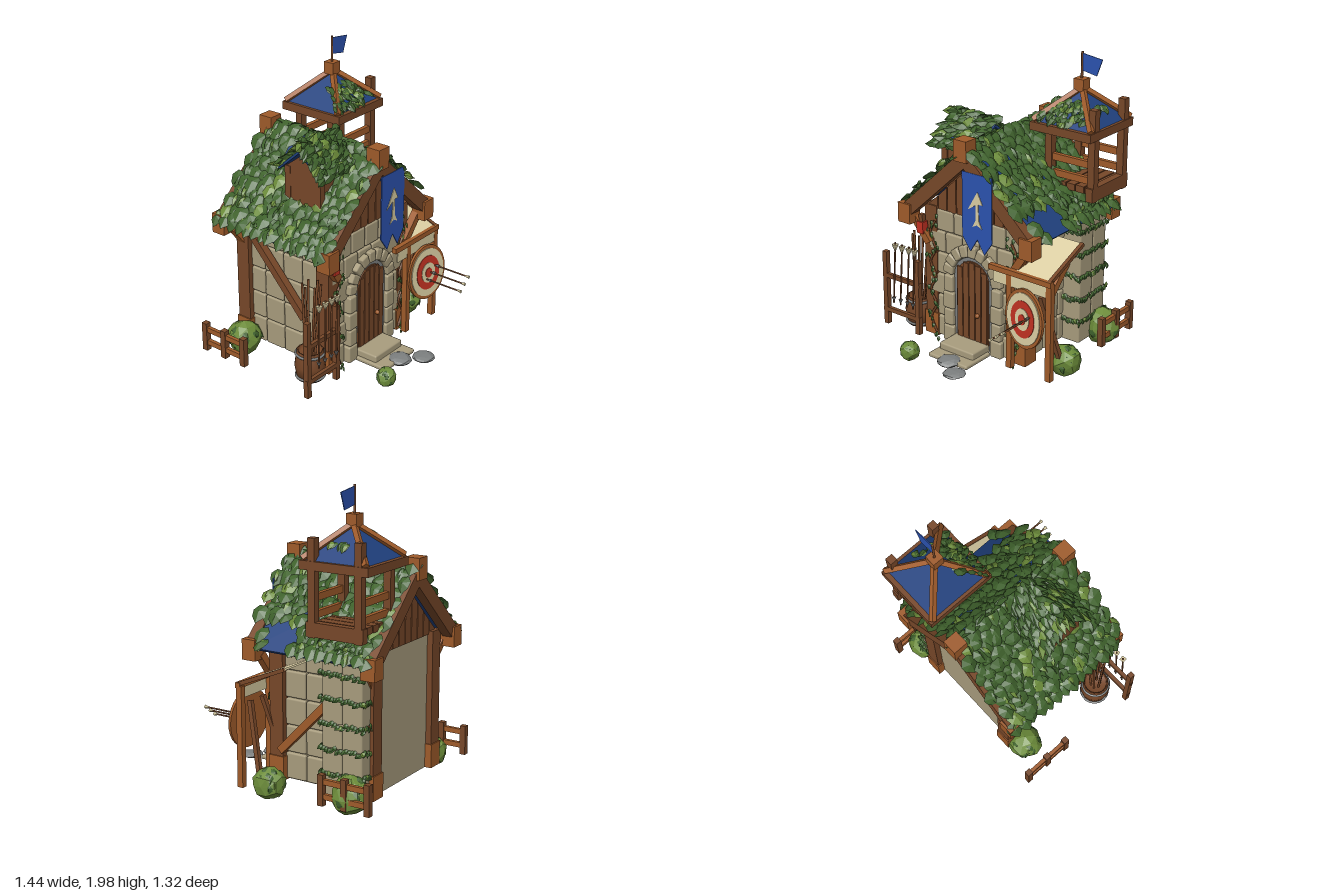
import * as THREE from 'three';
import { mergeGeometries } from 'three/addons/utils/BufferGeometryUtils.js';
import { RoundedBoxGeometry } from 'three/addons/geometries/RoundedBoxGeometry.js';

const mat = (name, color, side = THREE.FrontSide) => {
  const m = new THREE.MeshStandardMaterial({ color, side });
  m.name = name;
  return m;
};
const V = (x, y, z) => new THREE.Vector3(x, y, z);

export function createModel() {
  const root = new THREE.Group();
  root.name = 'archerLodge';
  const DS = THREE.DoubleSide;
  const timber = mat('timber', 0x784829), oak = mat('oak', 0xa05c2b);
  const stone = mat('stone', 0xa99d7e), slate = mat('slate', 0x7d8080);
  const blue = mat('clothBlue', 0x2c53b0, DS), roofBlue = mat('roofBlue', 0x20417e, DS);
  const red = mat('red', 0xc23222), cream = mat('cream', 0xdccfa4, DS);
  const green = mat('leafGreen', 0x40632d, DS), lime = mat('leafLight', 0x6c8c3a, DS);

  let seed = 7;
  const rnd = (a = 0, b = 1) => {
    seed = (seed * 16807) % 2147483647;
    return a + (b - a) * (seed / 2147483647);
  };
  const add = (name, geo, m, x = 0, y = 0, z = 0) => {
    const mesh = new THREE.Mesh(geo, m);
    mesh.name = name;
    mesh.position.set(x, y, z);
    root.add(mesh);
    return mesh;
  };
  const box = (name, m, w, h, d, x, y, z) => add(name, new THREE.BoxGeometry(w, h, d), m, x, y, z);
  const block = (name, m, w, h, d, x, y, z) => add(name, new RoundedBoxGeometry(w, h, d, 1, 0.012), m, x, y, z);
  const orient = (mesh, a, b) => {
    mesh.position.copy(a).add(b).multiplyScalar(0.5);
    mesh.quaternion.setFromUnitVectors(V(0, 1, 0), b.clone().sub(a).normalize());
    return mesh;
  };
  const beam = (name, m, a, b, w, d = w) => orient(box(name, m, w, a.distanceTo(b), d, 0, 0, 0), a, b);
  const rod = (name, m, a, b, r) => orient(add(name, new THREE.CylinderGeometry(r, r, a.distanceTo(b), 6), m), a, b);
  const poly = (pts) => new THREE.Shape(pts.map(([x, y]) => new THREE.Vector2(x, y)));
  const plate = (name, m, pts, depth, z) =>
    add(name, new THREE.ExtrudeGeometry(poly(pts), { depth, bevelEnabled: false }), m, 0, 0, z);

  // Leaves: small faceted fans, gathered by colour and merged at the end
  const foliage = { dark: [], light: [] };
  const rim = [[0, 1], [0.5, 0.4], [0.62, -0.2], [0.3, -0.7], [-0.3, -0.7], [-0.62, -0.2], [-0.5, 0.4]];
  const leaf = (pos, normal, down, size, width = 1, light = 0.1, wobble = 0.3) => {
    const p = [];
    rim.forEach(([x, z], i) => {
      const [x2, z2] = rim[(i + 1) % rim.length];
      p.push(0, 0.3, 0, x * width, 0, z, x2 * width, 0, z2);
    });
    const g = new THREE.BufferGeometry();
    g.setAttribute('position', new THREE.Float32BufferAttribute(p, 3));
    const n = normal.clone().add(V(rnd(-1, 1), rnd(-1, 1), rnd(-1, 1)).multiplyScalar(wobble)).normalize();
    const side = n.clone().cross(down).normalize();
    const m = new THREE.Matrix4().makeBasis(side, n, side.clone().cross(n));
    g.applyMatrix4(m.scale(V(size, size, size)).setPosition(pos));
    g.computeVertexNormals();
    (rnd() < light ? foliage.light : foliage.dark).push(g);
  };

  // Stone body with coursed blocks on the front and both sides
  box('stoneBody', stone, 0.7, 0.91, 0.71, 0, 0.525, -0.145);
  for (let r = 0; r < 6; r++) {
    const y = 0.148 + r * 0.151;
    for (let c = 0; c < 5; c++) {
      const x = -0.28 + c * 0.14 + (r % 2 ? 0.035 : -0.035);
      if (Math.abs(x) < (y < 0.6 ? 0.18 : 0.12) && y < 0.75) continue;
      if (Math.abs(x) < 0.33) block('frontStone', stone, 0.134, 0.144, 0.05, x, y, 0.205);
    }
  }
  for (const s of [-1, 1])
    for (let r = 0; r < 5; r++)
      for (let c = 0; c < 4; c++)
        block('sideStone', stone, 0.05, 0.174, 0.152, s * 0.35, 0.165 + r * 0.18, 0.06 - c * 0.158);

  // Stone watchtower stack with ivy bands
  for (let r = 0; r < 6; r++) {
    for (const z of [-0.3, -0.445])
      block('towerStone', stone, 0.17, 0.15, 0.143, 0.42, 0.15 + r * 0.158, z);
    const y = 0.23 + r * 0.158;
    for (let i = 0; i < 16; i++) {
      const t = i / 15, jitter = () => y + rnd(-0.012, 0.012) * (r === 5 ? 5 : 1);
      const size = r === 5 ? 0.032 : 0.024;
      leaf(V(0.512, jitter(), -0.22 - 0.31 * t), V(1, 0.4, 0), V(0, -1, 0.8), size);
      if (i < 8) for (const s of [-1, 1])
        leaf(V(0.36 + 0.3 * t, jitter(), -0.372 + s * 0.155), V(0, 0.4, s), V(0.8, -1, 0), size);
    }
  }

  // Door with arch, metal band and steps
  const arch = (r, y0) => {
    const s = new THREE.Shape();
    s.moveTo(-r, y0);
    s.lineTo(r, y0);
    s.lineTo(r, 0.56);
    s.absarc(0, 0.56, r, 0, Math.PI);
    s.lineTo(-r, y0);
    return s;
  };
  const extrude = (s, depth) => new THREE.ExtrudeGeometry(s, { depth, bevelEnabled: false, curveSegments: 14 });
  add('doorBand', extrude(arch(0.155, 0.1), 0.03), slate, 0, 0, 0.21);
  add('door', extrude(arch(0.13, 0.13), 0.012), timber, 0, 0, 0.236);
  for (let i = 0; i < 5; i++) {
    const x = -0.1 + i * 0.05, h = 0.43 + Math.sqrt(0.0165 - x * x) - 0.01;
    box('doorPlank', timber, 0.043, h, 0.012, x, 0.135 + h / 2, 0.25);
  }
  add('doorKnob', new THREE.SphereGeometry(0.016, 8, 6), oak, 0.05, 0.33, 0.265);
  for (const s of [-1, 1]) for (let i = 0; i < 4; i++)
    block('jambStone', stone, i % 2 ? 0.075 : 0.09, 0.117, 0.09, s * 0.195, 0.13 + i * 0.12, 0.22);
  for (let i = 0; i < 9; i++) {
    const a = (i + 0.5) * Math.PI / 9;
    block('archStone', stone, 0.08, 0.066, 0.09, Math.cos(a) * 0.197, 0.56 + Math.sin(a) * 0.197, 0.22).rotation.z = a;
  }
  block('upperStep', stone, 0.28, 0.07, 0.18, -0.01, 0.105, 0.32);
  block('lowerStep', stone, 0.32, 0.03, 0.25, -0.01, 0.08, 0.375);

  // Corner posts, gables, barge boards and joint blocks
  for (const s of [-1, 1]) {
    for (const z of [0.18, -0.49]) {
      box('cornerPost', timber, 0.1, 0.8, 0.1, s * 0.36, 0.59, z);
      box('postFoot', oak, 0.115, 0.16, 0.115, s * 0.36, 0.15, z);
    }
    for (const z of [0.295, -0.575]) {
      beam('bargeBoard', timber, V(s * 0.5, 0.94, z), V(0, 1.405, z), 0.09, 0.07);
      box('eaveBlock', oak, 0.1, 0.135, 0.1, s * 0.49, 0.935, z);
      beam('eaveBrace', oak, V(s * 0.35, 0.74, z * 0.85), V(s * 0.46, 0.9, z * 0.9), 0.05);
    }
  }
  for (const z of [0.3, -0.58]) box('ridgeBlock', oak, 0.1, 0.14, 0.1, -0.012, 1.46, z);
  plate('gableCore', timber, [[-0.38, 0.97], [0.38, 0.97], [0, 1.33]], 0.69, -0.49);
  for (const z of [0.2, -0.515]) for (let i = 0; i < 10; i++) {
    const x = -0.38 + i * 0.076, top = (q) => 1.35 - Math.abs(q) * 0.94;
    plate('gablePlank', timber, [[x + 0.004, 0.97], [x + 0.072, 0.97], [x + 0.072, top(x + 0.072)], [x + 0.004, top(x + 0.004)]], 0.02, z);
  }
  beam('rightWallBrace', oak, V(0.4, 0.27, 0.15), V(0.4, 0.65, -0.22), 0.05);
  beam('leftWallBrace', timber, V(-0.41, 0.41, 0.04), V(-0.41, 0.95, -0.46), 0.05);

  // Main roof and its leaf shingles, with a pale fringe along the eaves
  for (const s of [-1, 1]) {
    const a = V(s * 0.53, 0.945, -0.14), b = V(0, 1.435, -0.14);
    beam('roofSlope', roofBlue, a, b, 0.02, 0.82);
    const n = V(s * 0.68, 0.735, 0), down = V(s * 0.735, -0.68, 0);
    for (let r = 0; r < 11; r++) for (let c = 0; c < 14; c++) {
      const t = r / 10, z = 0.275 - c * 0.065 + (r % 2 ? 0.032 : 0) + rnd(-0.012, 0.012);
      if (s > 0 && t > 0.74 && z > -0.04 && rnd() < 0.8) continue;
      const p = V(s * 0.52 * t, 1.45 - 0.48 * t, z).addScaledVector(n, rnd(0.015, 0.04));
      leaf(p, n, down, rnd(0.068, 0.082), 1.2, 0.06, 0.28);
      if (rnd() < 0.3) leaf(p.addScaledVector(n, 0.01), V(n.x * 0.4, 0.3, rnd(-1, 1)), down, 0.05, 0.7, 0.45);
      if (r === 10) leaf(p, V(n.x, 0.4, rnd(-0.6, 0.6)), V(s * 0.4, -0.9, 0), 0.06, 0.6, 0.6);
    }
  }

  // Dormer on the right slope, thick with long leaves
  const dormer = new THREE.ExtrudeGeometry(poly([[-0.13, 1.08], [0.13, 1.08], [0.13, 1.4], [0, 1.5], [-0.13, 1.4]]), { depth: 0.3, bevelEnabled: false });
  add('dormerWalls', dormer.rotateY(-Math.PI / 2), timber, -0.05, 0, -0.02);
  for (const s of [-1, 1]) {
    beam('dormerPost', timber, V(-0.33, 1.1, -0.02 + s * 0.12), V(-0.33, 1.4, -0.02 + s * 0.12), 0.045);
    beam('dormerRoof', roofBlue, V(-0.2, 1.38, -0.02 + s * 0.17), V(-0.2, 1.53, -0.02), 0.36, 0.015);
    for (let i = 0; i < 8; i++) for (let r = 0; r < 8; r++) {
      const t = r / 7;
      leaf(V(-0.37 + i * 0.047 + rnd(-0.015, 0.015), 1.555 - 0.17 * t + rnd(-0.01, 0.02), -0.02 + s * 0.18 * t),
        V(0, 0.7, s * 0.7), V(-1, 0, s * 0.6), rnd(0.06, 0.08), 0.75, 0.12, 0.45);
    }
  }

  // Watchtower frame, pyramid roof and flag
  const tx = 0.385, tz = -0.38;
  for (const x of [-1, 1]) for (const z of [-1, 1]) {
    const px = 0.422 + x * 0.163, pz = -0.387 + z * 0.163, top = x > 0 ? 1.7 : 1.55;
    beam('towerPost', timber, V(px, 1.1, pz), V(px, top, pz), 0.05);
    beam('towerHip', oak, V(tx + x * 0.22, 1.57, tz + z * 0.22), V(tx, 1.77, tz), 0.032);
  }
  for (const s of [-1, 1]) {
    box('towerEaveBeam', timber, 0.46, 0.055, 0.04, tx, 1.535, tz + s * 0.22);
    box('towerEaveBeam', timber, 0.04, 0.055, 0.48, tx + s * 0.21, 1.535, tz);
    for (const y of [1.34, 1.235]) box('towerRail', oak, 0.36, 0.045, 0.03, 0.42, y, -0.387 + s * 0.163);
  }
  box('towerFloorBeam', timber, 0.05, 0.09, 0.4, 0.585, 1.15, -0.385);
  for (let i = 0; i < 5; i++) box('towerFloorPlank', timber, 0.062, 0.045, 0.35, 0.285 + i * 0.07, 1.165, -0.387);
  const pyramid = new THREE.ConeGeometry(0.3, 0.2, 4, 1, true).toNonIndexed().rotateY(Math.PI / 4);
  pyramid.computeVertexNormals();
  add('towerRoof', pyramid, roofBlue, tx, 1.66, tz);
  for (let i = 0; i < 60; i++) {
    const t = rnd(0, 0.65);
    leaf(V(tx - 0.03 + rnd(-0.21, 0.2) * (1 - t * 0.8), 1.58 + t * 0.17, tz + 0.225 * (1 - t)), V(0, 0.8, 0.6), V(0, -0.6, 0.8), rnd(0.035, 0.055), 1, 0.25, 0.6);
    if (i < 10) leaf(V(0.52 + rnd(-0.04, 0.04), 1.65, -0.36 + rnd(-0.07, 0.07)), V(0.6, 0.8, 0), V(0.8, -0.6, 0), 0.04, 1, 0.3);
  }
  box('roofCap', oak, 0.075, 0.08, 0.075, 0.378, 1.79, tz);
  rod('flagPole', timber, V(0.378, 1.82, tz), V(0.378, 2, tz), 0.008);
  plate('flag', blue, [[0.38, 1.99], [0.53, 1.97], [0.49, 1.86], [0.38, 1.88]], 0.006, tz - 0.003);

  // Banner with painted arrow
  plate('banner', blue, [[-0.01, 1.33], [0.225, 1.33], [0.225, 0.9], [0.165, 0.81], [0.11, 0.9], [0.055, 0.81], [-0.01, 0.9]], 0.008, 0.325);
  plate('bannerArrow', cream, [[0.1, 1.03], [0.075, 0.98], [0.112, 1.0], [0.15, 0.98], [0.125, 1.03], [0.122, 1.14], [0.155, 1.14], [0.115, 1.22], [0.04, 1.09], [0.1, 1.13]], 0.004, 0.334);

  // Lantern and vines on the front posts
  box('lantern', red, 0.052, 0.08, 0.05, -0.4, 0.84, 0.27);
  box('lanternCap', timber, 0.03, 0.05, 0.03, -0.4, 0.905, 0.27);
  for (const s of [-1, 1]) {
    const pts = [];
    for (let i = 0; i < 9; i++) {
      pts.push(V(s * (0.33 + (i % 2 ? 0.025 : -0.02)), 0.1 + i * 0.1, 0.245));
      for (let k = 0; k < 4; k++) leaf(pts[i].clone().add(V(rnd(-0.03, 0.03), rnd(-0.05, 0.05), 0.01)), V(0, 0.2, 1), V(0, -1, 0), 0.02);
    }
    add('vine', new THREE.TubeGeometry(new THREE.CatmullRomCurve3(pts), 32, 0.009, 5), timber);
  }

  // Arrows: shaft, slate head and cream fletching
  const arrow = (tail, tip, feather = 0.024) => {
    rod('arrowShaft', timber, tail, tip, 0.006);
    const at = (t) => tail.clone().lerp(tip, t);
    orient(add('arrowHead', new THREE.ConeGeometry(0.015, 0.04, 4), slate), at(0.9), tip);
    orient(add('arrowFletching', new THREE.ConeGeometry(feather, 0.06, 4), cream), at(0.02), at(0.17));
  };

  // Awning
  const slope = (x) => [V(x, 0.74, 0.3), V(x, 0.885, -0.05)];
  beam('awningCanvas', cream, ...slope(0.51), 0.26, 0.012);
  beam('awningRafter', timber, ...slope(0.64), 0.025);
  box('awningBeam', oak, 0.48, 0.035, 0.035, 0.42, 0.735, 0.295);
  box('awningValance', cream, 0.42, 0.08, 0.008, 0.42, 0.68, 0.3);
  for (const x of [0.335, 0.64]) {
    beam('awningPost', oak, V(x, 0.07, 0.285), V(x, 0.73, 0.285), 0.04);
    beam('targetLeg', timber, V(x, 0.07, 0.13), V(x < 0.5 ? 0.43 : 0.56, 0.62, 0.27), 0.03);
  }

  // Archery target, turned slightly and leaning back, with three arrows
  const target = new THREE.Group();
  target.name = 'target';
  target.position.set(0.487, 0.475, 0.34);
  target.rotation.set(-0.06, -0.17, 0);
  target.scale.x = 0.85;
  root.add(target);
  [[0.195, oak], [0.172, cream], [0.122, red], [0.072, cream], [0.035, red]].forEach(([r, m], i) => {
    target.add(add('targetRing', new THREE.CylinderGeometry(r, r, i ? 0.006 : 0.02, 28).rotateX(Math.PI / 2), m, 0, 0, i ? 0.009 + i * 0.004 : 0));
  });
  [[0.455, 0.44], [0.5, 0.475], [0.545, 0.51]].forEach(([x, y]) => arrow(V(x, y, 0.64), V(x, y, 0.37), 0.013));

  // Arrow rack and barrel
  for (const x of [-0.7, -0.42]) box('rackPost', timber, 0.035, 0.53, 0.035, x, 0.335, 0.3);
  for (const y of [0.18, 0.43]) box('rackRail', timber, 0.32, 0.03, 0.025, -0.56, y, 0.305);
  for (const x of [-0.6, -0.54, -0.48, -0.43]) arrow(V(x, 0.69, 0.315), V(x - 0.02, 0.25, 0.325));
  const bx = -0.52, bz = 0.17;
  const profile = [[0, 0.08], [0.085, 0.08], [0.102, 0.18], [0.088, 0.28], [0.075, 0.28], [0.075, 0.25], [0, 0.25]];
  add('barrel', new THREE.LatheGeometry(profile.map(([x, y]) => new THREE.Vector2(x, y)), 14), timber, bx, 0, bz);
  for (const y of [0.1, 0.26]) add('barrelHoop', new THREE.TorusGeometry(0.092, 0.009, 6, 18).rotateX(Math.PI / 2), slate, bx, y, bz);
  for (let i = 0; i < 6; i++) {
    const a = i * 1.05;
    rod('barrelArrow', timber, V(bx + Math.cos(a) * 0.03, 0.24, bz + Math.sin(a) * 0.03), V(bx + 0.02 + Math.cos(a) * 0.06, 0.74, bz + Math.sin(a) * 0.06), 0.008);
  }

  // Side fences
  for (const [x, z0] of [[0.63, -0.31], [-0.675, -0.26]]) {
    for (let i = 0; i < 3; i++) box('fencePost', timber, 0.04, 0.2, 0.04, x, 0.17, z0 - i * 0.165);
    for (const y of [0.13, 0.225]) box('fenceRail', oak, 0.025, 0.035, 0.36, x, y, z0 - 0.165);
  }

  // Faceted bushes and flat rocks
  const lump = (name, m, x, y, z, r, sy = 1) => {
    const g = new THREE.IcosahedronGeometry(r, 1), p = g.attributes.position;
    for (let i = 0; i < p.count; i++) {
      const k = 1 + 0.07 * Math.sin(p.getX(i) * 97 + p.getY(i) * 61 + p.getZ(i) * 83);
      p.setXYZ(i, p.getX(i) * k, p.getY(i) * k * sy, p.getZ(i) * k);
    }
    g.computeVertexNormals();
    add(name, g, m, x, y, z);
  };
  [[-0.26, 0.11, 0.575, 0.065], [0.62, 0.13, 0.085, 0.105], [0.54, 0.135, -0.46, 0.125], [-0.47, 0.125, -0.44, 0.115]].forEach(([x, y, z, r]) => {
    lump('bush', lime, x, y, z, r);
    for (let i = 0; i < 20; i++) {
      const n = V(rnd(-1, 1), rnd(-0.3, 1), rnd(-1, 1)).normalize();
      leaf(V(x, y, z).addScaledVector(n, r * 0.88), n, V(0.1, -1, 0.05), r * 0.4, 1, 0.15);
    }
  });
  lump('rock', slate, 0.0, 0.085, 0.49, 0.08, 0.35);
  lump('rock', slate, 0.125, 0.08, 0.59, 0.075, 0.25);

  add('darkLeaves', mergeGeometries(foliage.dark), green);
  add('lightLeaves', mergeGeometries(foliage.light), lime);
  return root;
}
